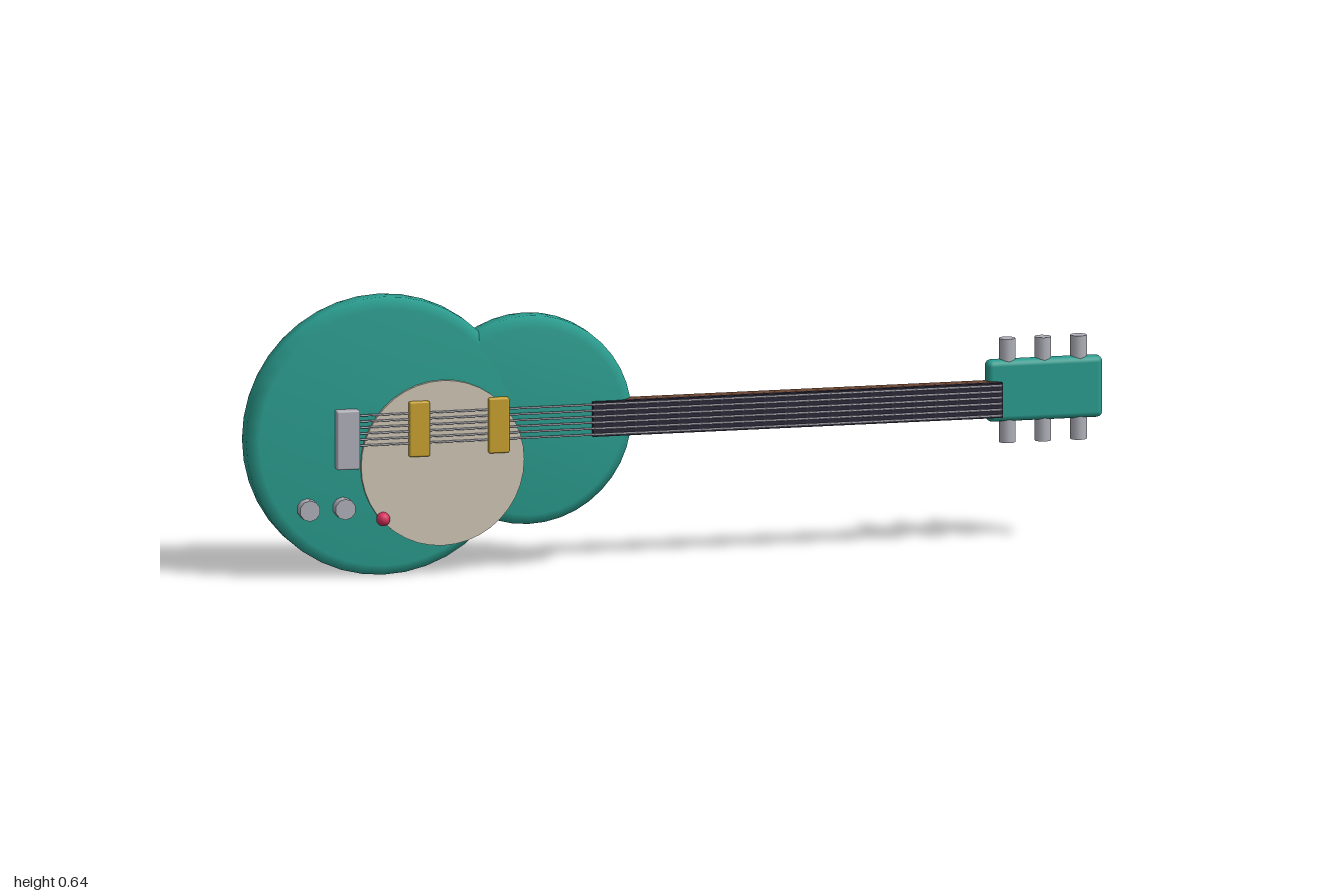
import * as THREE from 'three';
import { RoundedBoxGeometry } from 'three/addons/geometries/RoundedBoxGeometry.js';

const mat = (name, color) => {
  const m = new THREE.MeshStandardMaterial({ color });
  m.name = name;
  return m;
};

export function createModel() {
  const teal = mat('teal lacquer', 0x2a9d8f);
  const brown = mat('brown wood', 0x6b4530);
  const dark = mat('dark fretboard', 0x2a2838);
  const cream = mat('cream', 0xcfc7b6);
  const gold = mat('gold', 0xc9a22e);
  const metal = mat('grey metal', 0xb0b0ba);
  const red = mat('red', 0xd6305c);

  const root = new THREE.Group();
  root.name = 'guitar';
  const add = (name, geo, material, x, y, z) => {
    const m = new THREE.Mesh(geo, material);
    m.name = name;
    m.position.set(x, y, z);
    root.add(m);
    return m;
  };
  const block = (name, material, x, y, z, w, h, d, r) =>
    add(name, new RoundedBoxGeometry(w, h, d, 2, r), material, x, y, z);
  // disc or cylinder whose axis points to the front
  const frontDisc = (name, material, x, y, z, r, d, sides) =>
    add(name, new THREE.CylinderGeometry(r, r, d, sides).rotateX(Math.PI / 2), material, x, y, z);

  // body: two overlapping discs with a softly shaded bevelled rim
  const bout = (name, x, y, r, inset) => {
    const profile = [
      [0, -0.057 + inset], [r - 0.025, -0.057 + inset], [r, -0.034],
      [r, 0.006], [r - 0.025, 0.03 - inset], [0, 0.03 - inset],
    ].map(([a, b]) => new THREE.Vector2(a, b));
    add(name, new THREE.LatheGeometry(profile, 40).rotateX(Math.PI / 2), teal, x, y, 0);
  };
  bout('lowerBout', -0.68, 0.325, 0.32, 0);
  bout('upperBout', -0.342, 0.346, 0.24, 0.0006);

  frontDisc('pickguard', cream, -0.55, 0.262, 0.033, 0.19, 0.011, 40);

  // neck: chamfered section extruded along x
  const section = new THREE.Shape([
    [-0.036, 0.026], [-0.04, 0.016], [-0.04, -0.004], [-0.027, -0.02],
    [0.027, -0.02], [0.04, -0.004], [0.04, 0.016], [0.036, 0.026],
  ].map(([a, b]) => new THREE.Vector2(-b, a)));
  const neck = new THREE.ExtrudeGeometry(section, { depth: 0.95, bevelEnabled: false });
  neck.rotateY(Math.PI / 2);
  add('neck', neck, brown, -0.2, 0.346, 0);
  add('fretboard', new THREE.BoxGeometry(0.955, 0.08, 0.015), dark, 0.278, 0.346, 0.0325);

  // headstock and tuning pegs
  block('headstock', teal, 0.86, 0.362, -0.003, 0.27, 0.142, 0.039, 0.014);
  for (const x of [0.776, 0.859, 0.942]) {
    for (const side of [-1, 1]) {
      add('tuningPeg', new THREE.CylinderGeometry(0.019, 0.019, 0.055, 10),
        metal, x, 0.361 + side * 0.092, -0.006);
    }
  }

  // tailpiece, pickups and strings
  block('tailpiece', metal, -0.773, 0.327, 0.042, 0.054, 0.136, 0.027, 0.004);
  for (const x of [-0.606, -0.421]) {
    block('pickup', gold, x, 0.344, 0.04, 0.048, 0.127, 0.021, 0.004);
  }
  for (let i = 0; i < 6; i++) {
    add('string', new THREE.CylinderGeometry(0.0024, 0.0024, 1.53, 6).rotateZ(Math.PI / 2),
      metal, -0.012, 0.346 + (i - 2.5) * 0.0138, 0.041);
  }

  // controls
  for (const x of [-0.864, -0.781]) {
    frontDisc('knob', metal, x, 0.169, 0.043, 0.024, 0.031, 10);
  }
  add('switchTip', new THREE.SphereGeometry(0.016, 14, 10), red, -0.69, 0.14, 0.043);

  return root;
}
